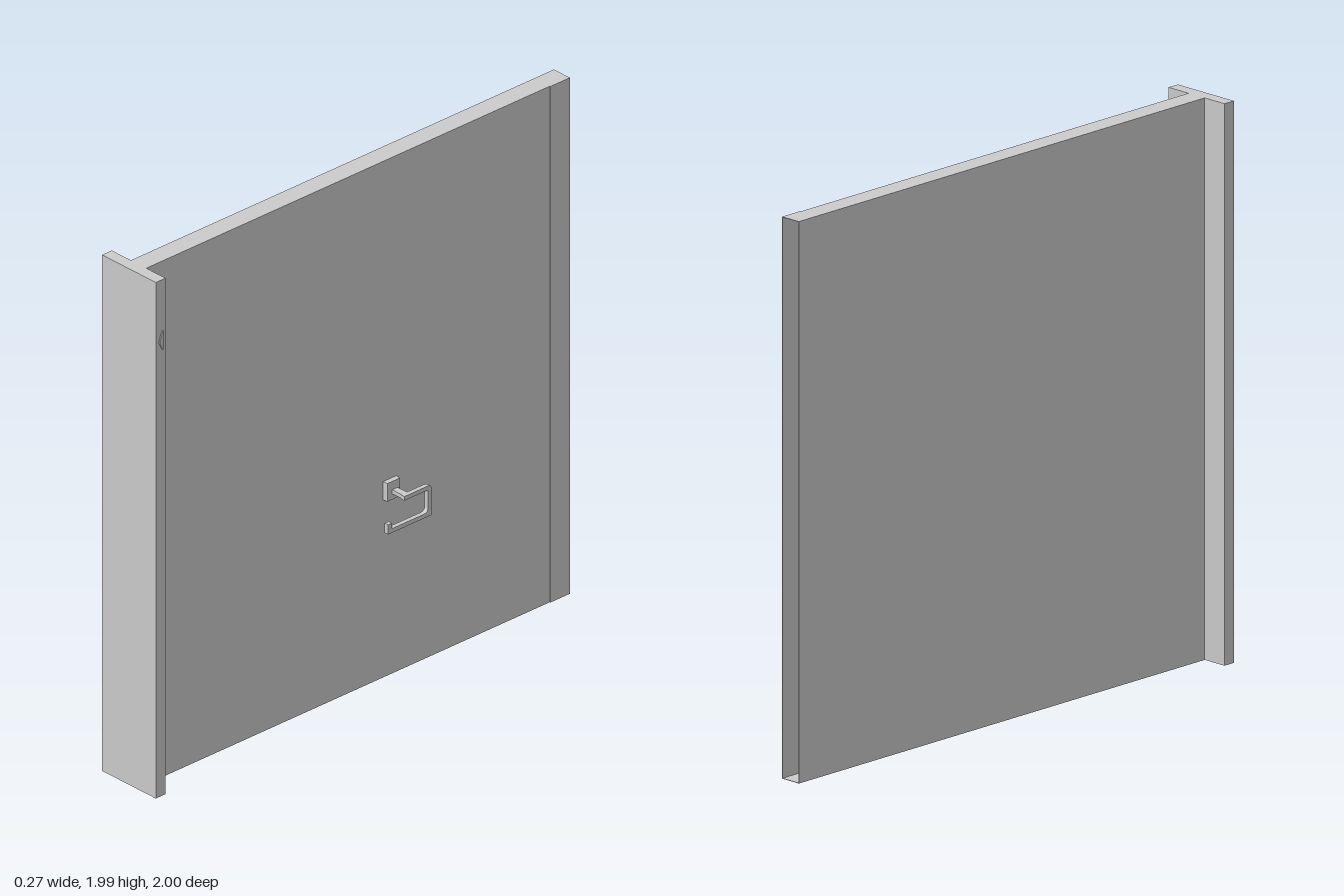
import * as THREE from 'three';

const H = 1.987;

export function createModel() {
  const model = new THREE.Group();
  const material = new THREE.MeshStandardMaterial({ color: 0xcccccc, flatShading: true });

  const add = (name, geometry) => {
    const mesh = new THREE.Mesh(geometry, material);
    mesh.name = name;
    model.add(mesh);
    return mesh;
  };

  // Box given by its two extreme corners
  const box = (name, [x0, y0, z0], [x1, y1, z1]) =>
    add(name, new THREE.BoxGeometry(x1 - x0, y1 - y0, z1 - z0)
      .translate((x0 + x1) / 2, (y0 + y1) / 2, (z0 + z1) / 2));

  // Profile drawn in (-z, y), extruded along +x from x0 to x1
  const sideProfile = (name, shape, x0, x1) => {
    const geometry = new THREE.ExtrudeGeometry(shape, { depth: x1 - x0, bevelEnabled: false, curveSegments: 5 });
    return add(name, geometry.rotateY(Math.PI / 2).translate(x0, 0, 0));
  };

  const rectangle = (Type, x0, y0, x1, y1) => new Type(
    [[x0, y0], [x1, y0], [x1, y1], [x0, y1]].map(([x, y]) => new THREE.Vector2(x, y)));

  // Door slab and wide front edge plate
  box('doorPanel', [-0.042, 0, -0.91], [0.034, H, 0.955]);
  box('edgePlate', [-0.136, 0, 0.955], [0.129, H, 1]);

  // Thin-walled channel, open at the back
  const channel = rectangle(THREE.Shape, -0.042, 0, 0.037, H);
  channel.holes.push(rectangle(THREE.Path, -0.04, 0.002, 0.035, H - 0.002));
  add('backChannel', new THREE.ExtrudeGeometry(channel, { depth: 0.09, bevelEnabled: false })
    .translate(0, 0, -1));

  // Handle: mounting block, stem and hooked grip
  box('handleMount', [0.034, 0.684, -0.2], [0.054, 0.754, -0.14]);
  box('handleStem', [0.054, 0.706, -0.188], [0.1, 0.722, -0.163]);

  const grip = new THREE.Shape();
  grip.moveTo(0.16, 0.722);
  grip.lineTo(0.269, 0.722);
  grip.quadraticCurveTo(0.285, 0.722, 0.285, 0.706);
  grip.lineTo(0.285, 0.604);
  grip.lineTo(0.085, 0.604);
  grip.lineTo(0.085, 0.641);
  grip.lineTo(0.104, 0.641);
  grip.lineTo(0.104, 0.62);
  grip.lineTo(0.25, 0.62);
  grip.quadraticCurveTo(0.269, 0.62, 0.269, 0.639);
  grip.lineTo(0.269, 0.698);
  grip.quadraticCurveTo(0.269, 0.706, 0.261, 0.706);
  grip.lineTo(0.16, 0.706);
  grip.closePath();
  sideProfile('handleGrip', grip, 0.1, 0.117);

  // Small pointed catch on the side of the edge plate
  const latch = new THREE.Shape([
    [-0.967, 1.72], [-0.967, 1.79], [-0.972, 1.79], [-0.984, 1.758], [-0.984, 1.745], [-0.972, 1.72],
  ].map(([x, y]) => new THREE.Vector2(x, y)));
  sideProfile('latch', latch, 0.125, 0.133);

  return model;
}
